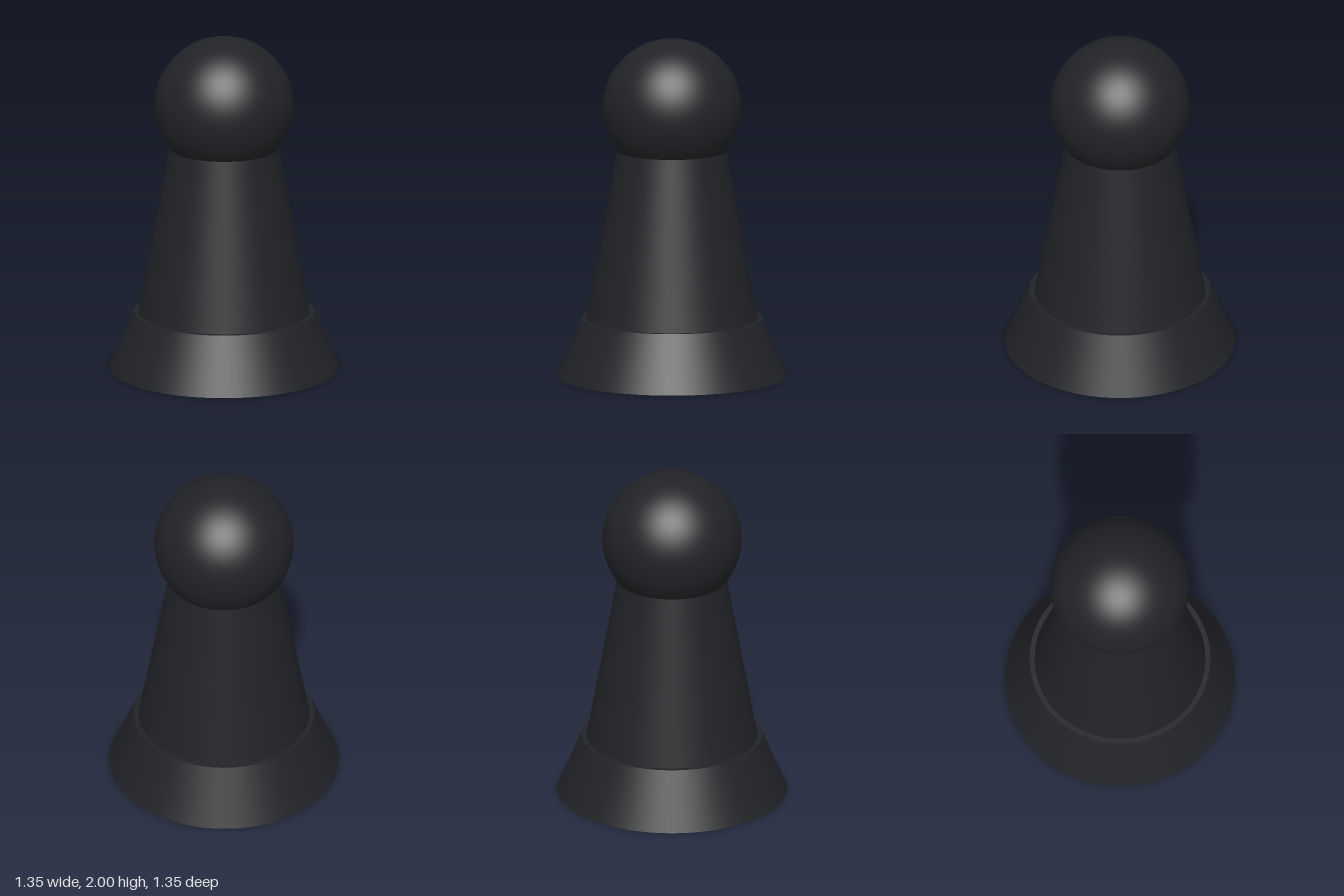
import * as THREE from 'three';

export function createModel() {
  const group = new THREE.Group();
  const material = new THREE.MeshStandardMaterial({ color: 0x222327 });

  const add = (name, geometry, y) => {
    const mesh = new THREE.Mesh(geometry, material);
    mesh.name = name;
    mesh.position.y = y;
    group.add(mesh);
  };

  // Flared foot with a narrow flat ledge on top
  add('base', new THREE.CylinderGeometry(0.53, 0.673, 0.34, 96), 0.17);
  // Tapered column
  add('body', new THREE.CylinderGeometry(0.32, 0.5, 1, 96), 0.84);
  // Ball sunk into the top of the column
  add('head', new THREE.SphereGeometry(0.408, 96, 64), 1.592);

  return group;
}
